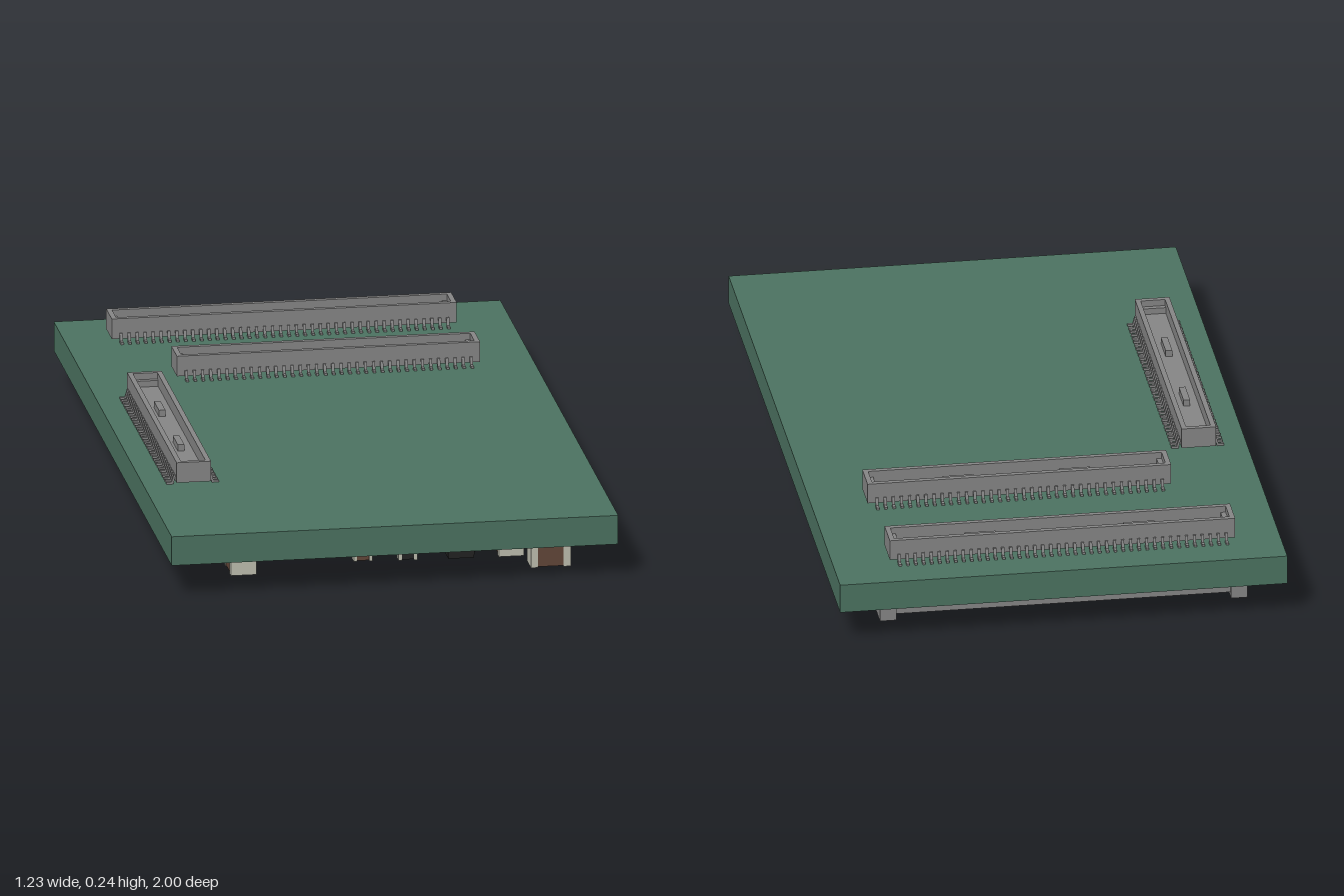
import * as THREE from 'three';

const mat = (name, color) => Object.assign(new THREE.MeshStandardMaterial({ color }), { name });

export function createModel() {
  const M = {
    green: mat('boardGreen', 0x4c7361),
    grey: mat('connectorGrey', 0x868686),
    metal: mat('solderMetal', 0xbebeb0),
    brown: mat('ceramicBrown', 0x624639),
    black: mat('chipBlack', 0x232323),
  };
  const root = new THREE.Group();
  const UNDER = 0.093, TOP = 0.175;

  const group = (name, parent, x, y, z) => {
    const g = new THREE.Group();
    g.name = name;
    g.position.set(x, y, z);
    parent.add(g);
    return g;
  };
  // box given by its size and centre
  const box = (parent, name, m, w, h, d, x = 0, y = 0, z = 0) => {
    const b = new THREE.Mesh(new THREE.BoxGeometry(w, h, d), m);
    b.name = name;
    b.position.set(x, y, z);
    parent.add(b);
    return b;
  };

  box(root, 'board', M.green, 1.23, TOP - UNDER, 2, 0, (TOP + UNDER) / 2, 0);

  // gull-wing pin profile, reused for every pin
  const pinShape = new THREE.Shape();
  [[0.04, 0.026], [0.052, 0.026], [0.058, 0.006], [0.072, 0.006], [0.072, 0], [0.053, 0], [0.048, 0.02], [0.04, 0.02]]
    .forEach(([a, b], i) => (i ? pinShape.lineTo(a, b) : pinShape.moveTo(a, b)));
  const pinGeo = new THREE.ExtrudeGeometry(pinShape, { depth: 0.008, bevelEnabled: false });
  pinGeo.translate(0, 0, -0.004);

  // top connector: hollow housing, two keys, two rows of pins, long axis on x
  const header = (name, x, z, len, key, turn) => {
    const g = group(name, root, x, TOP, z);
    if (turn) g.rotation.y = Math.PI / 2;
    const w = 0.095, low = 0.01, high = 0.067;
    const h = high - low, mid = (high + low) / 2;
    box(g, 'housingFloor', M.grey, len, 0.022, w, 0, low + 0.011, 0);
    for (const s of [-1, 1]) {
      box(g, 'sideWall', M.grey, len, h, 0.014, 0, mid, s * (w / 2 - 0.007));
      box(g, 'endWall', M.grey, 0.014, h, w - 0.028, s * (len / 2 - 0.007), mid, 0);
      box(g, 'endStep', M.grey, 0.014, h - 0.018, w - 0.028, s * (len / 2 - 0.021), mid - 0.009, 0);
      box(g, 'key', M.grey, 0.085, 0.018, 0.018, s * key, 0.041, 0);
    }
    const n = Math.round((len - 0.05) / 0.0222);
    const pins = new THREE.InstancedMesh(pinGeo, M.grey, 1);
    pins.dispose();
    for (let i = 0; i <= n; i++) {
      for (const s of [-1, 1]) {
        const p = new THREE.Mesh(pinGeo, M.grey);
        p.name = 'pin';
        p.rotation.y = s * Math.PI / 2;
        p.position.x = -len / 2 + 0.025 + (i * (len - 0.05)) / n;
        g.add(p);
      }
    }
  };
  header('rearConnector', -0.015, -0.833, 0.95, 0.218, false);
  header('middleConnector', 0.0475, -0.467, 0.835, 0.16, false);
  header('sideConnector', -0.48, 0.125, 0.84, 0.16, true);

  // underside socket with taller end blocks and a centre tongue
  const socket = group('undersideSocket', root, -0.015, UNDER, -0.825);
  box(socket, 'socketBase', M.grey, 1.0, 0.035, 0.14, 0, -0.0175, 0);
  box(socket, 'socketTongue', M.grey, 0.88, 0.03, 0.035, 0, -0.05, 0);
  for (const s of [-1, 1]) {
    box(socket, 'socketWall', M.grey, 0.95, 0.03, 0.022, 0, -0.05, s * 0.058);
    box(socket, 'socketEnd', M.grey, 0.045, 0.08, 0.155, s * 0.483, -0.04, 0);
  }
  for (let i = 0; i < 40; i++) {
    for (const s of [-1, 1]) box(socket, 'socketPin', M.grey, 0.008, 0.008, 0.014, -0.44 + i * 0.02256, -0.004, s * 0.076);
  }

  // tapered chip with leads along two or four sides
  const chip = (x, z, w, d, h, leads, four) => {
    const g = group('chip', root, x, UNDER, z);
    const geo = new THREE.BoxGeometry(w, h, d);
    const p = geo.attributes.position;
    for (let i = 0; i < p.count; i++) {
      if (p.getY(i) < 0) p.setXYZ(i, p.getX(i) * 0.94, p.getY(i), p.getZ(i) * 0.94);
    }
    geo.computeVertexNormals();
    const body = new THREE.Mesh(geo, M.black);
    body.name = 'chipBody';
    body.position.y = -h / 2 - 0.003;
    g.add(body);
    for (let i = 0; i < leads; i++) {
      const t = (i + 0.5) / leads - 0.5;
      for (const s of [-1, 1]) {
        box(g, 'lead', M.metal, 0.012, 0.01, 0.009, s * w / 2, -0.005, t * d * 0.9);
        if (four) box(g, 'lead', M.metal, 0.009, 0.01, 0.012, t * w * 0.9, -0.005, s * d / 2);
      }
    }
  };
  [[0.435, -0.13], [-0.235, -0.13], [0.375, 0.35], [0.066, 0.35], [-0.236, 0.35], [0.011, 0.745]]
    .forEach(([x, z]) => chip(x, z, 0.155, 0.155, 0.04, 7, true));
  [[0.21, 0.78], [-0.175, 0.725], [-0.29, 0.64]]
    .forEach(([x, z]) => chip(x, z, 0.09, 0.08, 0.055, 3, false));
  [[0.19, 0.93], [0.326, -0.53], [-0.076, -0.3], [-0.54, -0.28], [-0.52, -0.06]]
    .forEach(([x, z]) => chip(x, z, 0.075, 0.05, 0.03, 3, false));

  // block with metal end caps, long axis on x or turned onto z
  const capped = (name, x, z, len, wid, h, turn, core = M.brown) => {
    const g = group(name, root, x, UNDER, z);
    if (turn) g.rotation.y = Math.PI / 2;
    const cap = len * 0.18;
    box(g, 'core', core, len - 2 * cap, h - 0.004, wid - 0.004, 0, -h / 2, 0);
    for (const s of [-1, 1]) box(g, 'endCap', M.metal, cap, h, wid, s * (len - cap) / 2, -h / 2, 0);
  };
  for (const x of [0.39, -0.28]) capped('largeCapacitor', x, -0.315, 0.175, 0.09, 0.093, false);
  [[0.44, 0.05, 0], [0.437, 0.92, 0], [0.347, 0.785, 1], [-0.4, 0.84, 1], [-0.36, 0.52, 1], [-0.143, 0.117, 0]]
    .forEach(([x, z, t]) => capped('mediumCapacitor', x, z, 0.11, 0.07, 0.07, t));
  capped('mediumCapacitor', 0.151, -0.284, 0.09, 0.06, 0.05, false);
  capped('mediumCapacitor', 0.11, 0.17, 0.08, 0.05, 0.045, false);

  // small passives, every third one with a black core
  [
    [0.157, 0.09, 1], [0.065, 0.527, 0], [0.313, 0.64, 0], [0.49, 0.4, 1], [0.5, 0.163, 1],
    [0.214, 0.6, 0], [0.57, -0.617, 0], [0.56, -0.52, 0], [0.57, -0.275, 1], [0.22, -0.415, 0],
    [0.22, -0.6, 1], [-0.09, -0.49, 0], [0.02, -0.63, 1], [-0.02, -0.43, 1], [-0.567, -0.34, 1],
    [-0.147, -0.028, 0], [-0.42, 0.34, 1], [-0.31, 0.2, 0], [-0.55, 0.677, 0], [-0.55, 0.749, 0],
    [-0.55, 0.85, 0], [-0.08, 0.94, 0], [-0.246, 0.865, 1], [0.042, 0.95, 0],
  ].forEach(([x, z, t], i) => capped('smallPassive', x, z, 0.052, 0.03, 0.028, t, i % 3 === 2 ? M.black : M.brown));

  return root;
}
